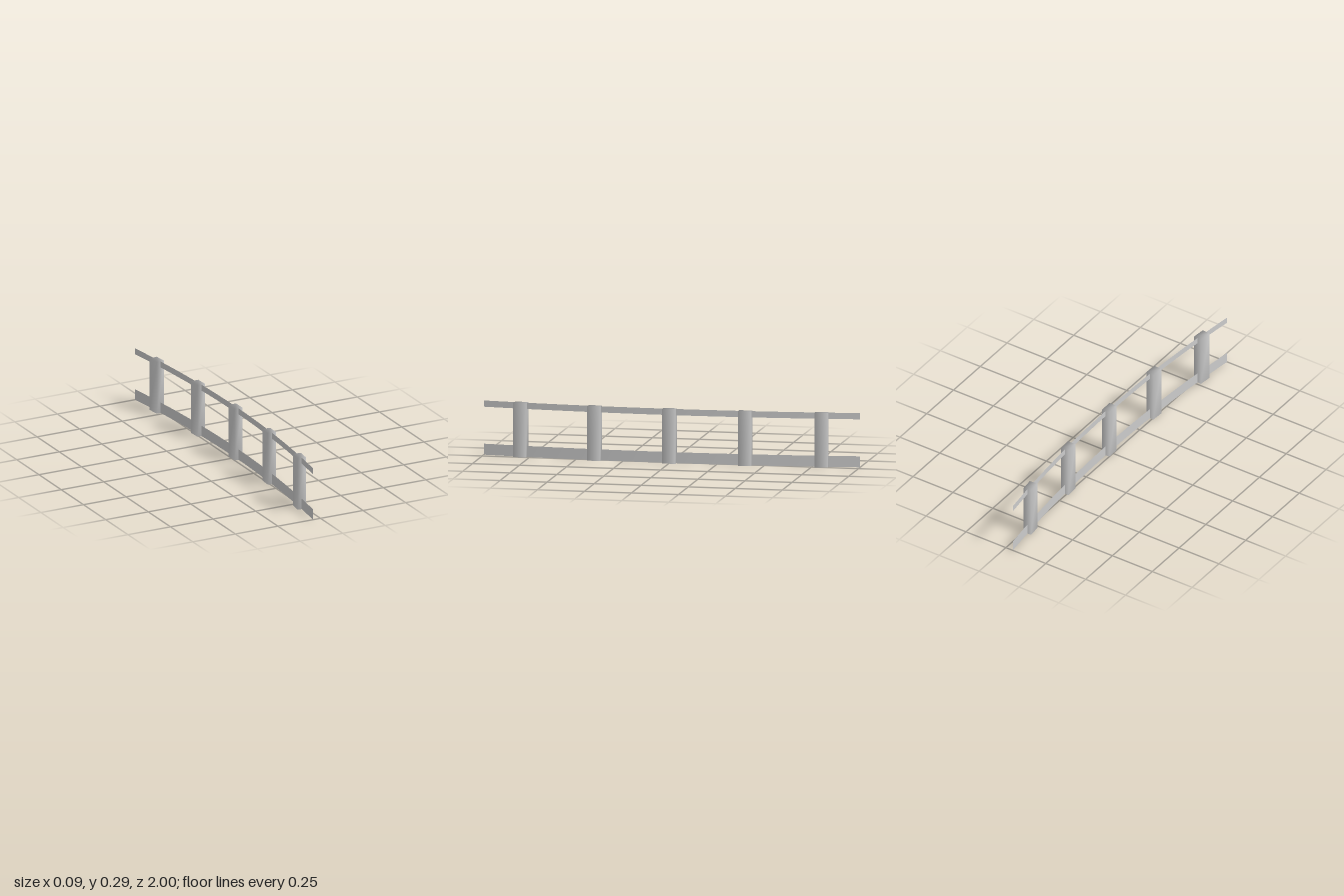
import * as THREE from 'three';
import { mergeVertices } from 'three/addons/utils/BufferGeometryUtils.js';

const HEIGHT = 0.286;
const BEND = 0.0665;

// Gentle bow of the fence line: x offset and heading at a given z
const bowX = (z) => 0.0225 - BEND * z * z;
const heading = (z) => Math.atan(-2 * BEND * z);

// Thin upright band that follows the bow
function railGeometry(bottom, top) {
  const geometry = new THREE.PlaneGeometry(2, top - bottom, 20, 1);
  geometry.rotateY(Math.PI / 2);
  geometry.translate(0, (bottom + top) / 2, 0);
  const p = geometry.attributes.position;
  for (let i = 0; i < p.count; i++) p.setX(i, bowX(p.getZ(i)));
  geometry.computeVertexNormals();
  return geometry;
}

// Square-edged post with soft shading across its corners
function postGeometry() {
  const box = new THREE.BoxGeometry(0.045, HEIGHT, 0.07);
  box.deleteAttribute('normal');
  box.deleteAttribute('uv');
  const geometry = mergeVertices(box);
  geometry.computeVertexNormals();
  return geometry;
}

export function createModel() {
  const group = new THREE.Group();
  group.name = 'curvedFence';
  const postMaterial = new THREE.MeshStandardMaterial({ color: 0xcccccc });
  const railMaterial = new THREE.MeshStandardMaterial({ color: 0xcccccc, side: THREE.DoubleSide });

  // Rails run through the middle of the posts
  const rails = { lowerRail: [0, 0.058], upperRail: [0.253, HEIGHT] };
  for (const [name, [bottom, top]] of Object.entries(rails)) {
    const rail = new THREE.Mesh(railGeometry(bottom, top), railMaterial);
    rail.name = name;
    group.add(rail);
  }

  // Five evenly spaced posts, each turned to follow the bow
  const geometry = postGeometry();
  for (let i = 0; i < 5; i++) {
    const z = -0.8 + i * 0.4;
    const post = new THREE.Mesh(geometry, postMaterial);
    post.name = `post${i + 1}`;
    post.position.set(bowX(z), HEIGHT / 2, z);
    post.rotation.y = heading(z);
    group.add(post);
  }
  return group;
}
